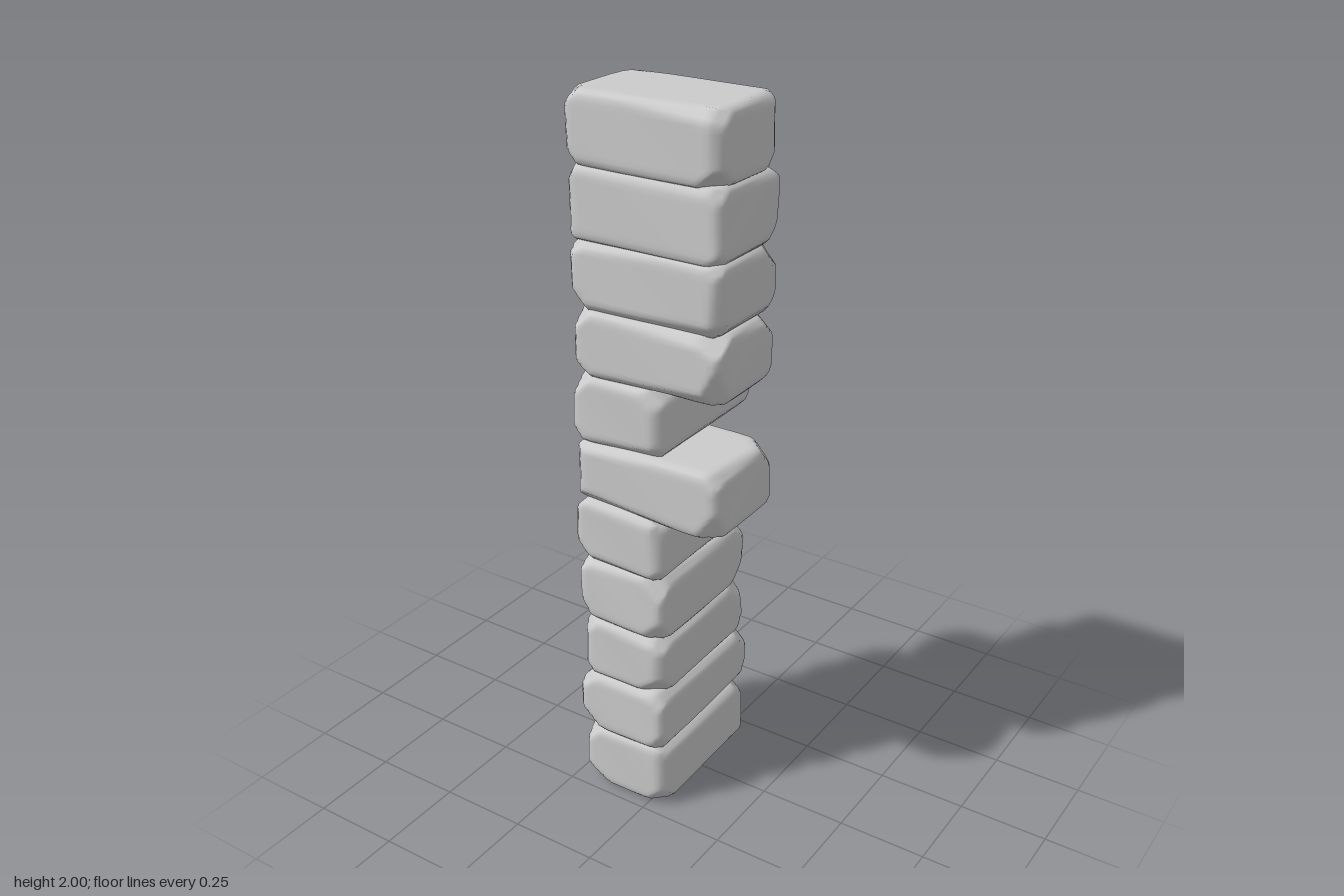
import * as THREE from 'three';
import { mergeVertices } from 'three/addons/utils/BufferGeometryUtils.js';

// Small seeded random generator
function seeded(seed) {
  let s = seed;
  return () => {
    s = (s * 16807) % 2147483647;
    return s / 2147483647;
  };
}

// Worn stone block: a rounded box whose edges and corners are shaved by tilted planes
function stoneGeometry(w, h, d, seed) {
  const rnd = seeded(seed * 7919 + 101);
  const jitter = (a) => (rnd() - 0.5) * 2 * a;
  let geo = new THREE.BoxGeometry(w, h, d, Math.round(w * 60), 14, Math.round(d * 60));
  geo.deleteAttribute('normal');
  geo.deleteAttribute('uv');
  geo = mergeVertices(geo, 1e-4);
  const half = new THREE.Vector3(w / 2, h / 2, d / 2);

  // Shaving planes: twelve edges and eight corners
  const cuts = [];
  for (const x of [-1, 0, 1]) for (const y of [-1, 0, 1]) for (const z of [-1, 0, 1]) {
    const count = Math.abs(x) + Math.abs(y) + Math.abs(z);
    if (count < 2) continue;
    const tilt = count === 2 ? 0.09 : 0.3;
    const normal = new THREE.Vector3(x + jitter(tilt), y + jitter(tilt), z + jitter(tilt)).normalize();
    const depth = count === 2 ? 0.008 + rnd() * 0.012 : 0.025 + rnd() * 0.022;
    const point = new THREE.Vector3(x, y, z).multiply(half);
    cuts.push({ normal, offset: normal.dot(point) - depth });
  }

  const r = 0.022;
  const core = half.clone().subScalar(r);
  const low = core.clone().negate();
  const pos = geo.attributes.position;
  const p = new THREE.Vector3(), c = new THREE.Vector3();
  const phase = rnd() * 6;
  for (let i = 0; i < pos.count; i++) {
    p.fromBufferAttribute(pos, i);
    // Round the edges
    c.copy(p).clamp(low, core);
    p.sub(c).setLength(r).add(c);
    // Shave off the chips
    for (const { normal, offset } of cuts) {
      const over = normal.dot(p) - offset;
      if (over > 0) p.addScaledVector(normal, -over);
    }
    // Uneven, slightly hollowed sides
    const wave = 0.5 + 0.5 * Math.sin(p.x * 13 + p.y * 17 + p.z * 11 + phase);
    p.x *= 1 - 0.015 * wave;
    p.z *= 1 - 0.015 * wave;
    pos.setXYZ(i, p.x, p.y, p.z);
  }
  geo.computeVertexNormals();
  return geo;
}

export function createModel() {
  const group = new THREE.Group();
  group.name = 'stoneCornerColumn';
  const material = new THREE.MeshStandardMaterial({ color: 0xcccccc });

  // Courses from the ground up: bottom, top, xMin, xMax, zMin, zMax
  const courses = [
    [0.0, 0.197, -0.22, 0.053, -0.217, 0.226],
    [0.19, 0.373, -0.23, 0.053, -0.226, 0.231],
    [0.366, 0.55, -0.221, 0.05, -0.208, 0.224],
    [0.546, 0.738, -0.222, 0.053, -0.213, 0.224],
    [0.732, 0.918, -0.231, 0.05, -0.228, 0.227],
    [0.912, 1.096, -0.219, 0.227, -0.05, 0.231],
    [1.088, 1.28, -0.225, 0.053, -0.219, 0.227],
    [1.277, 1.458, -0.213, 0.228, -0.042, 0.232],
    [1.452, 1.64, -0.219, 0.228, -0.052, 0.231],
    [1.632, 1.822, -0.226, 0.228, -0.051, 0.23],
    [1.815, 2.0, -0.216, 0.226, -0.045, 0.23],
  ];
  courses.forEach(([y0, y1, x0, x1, z0, z1], i) => {
    const stone = new THREE.Mesh(stoneGeometry(x1 - x0, y1 - y0, z1 - z0, i + 1), material);
    stone.position.set((x0 + x1) / 2, (y0 + y1) / 2, (z0 + z1) / 2);
    stone.name = `stoneBlock${i + 1}`;
    group.add(stone);
  });
  return group;
}
